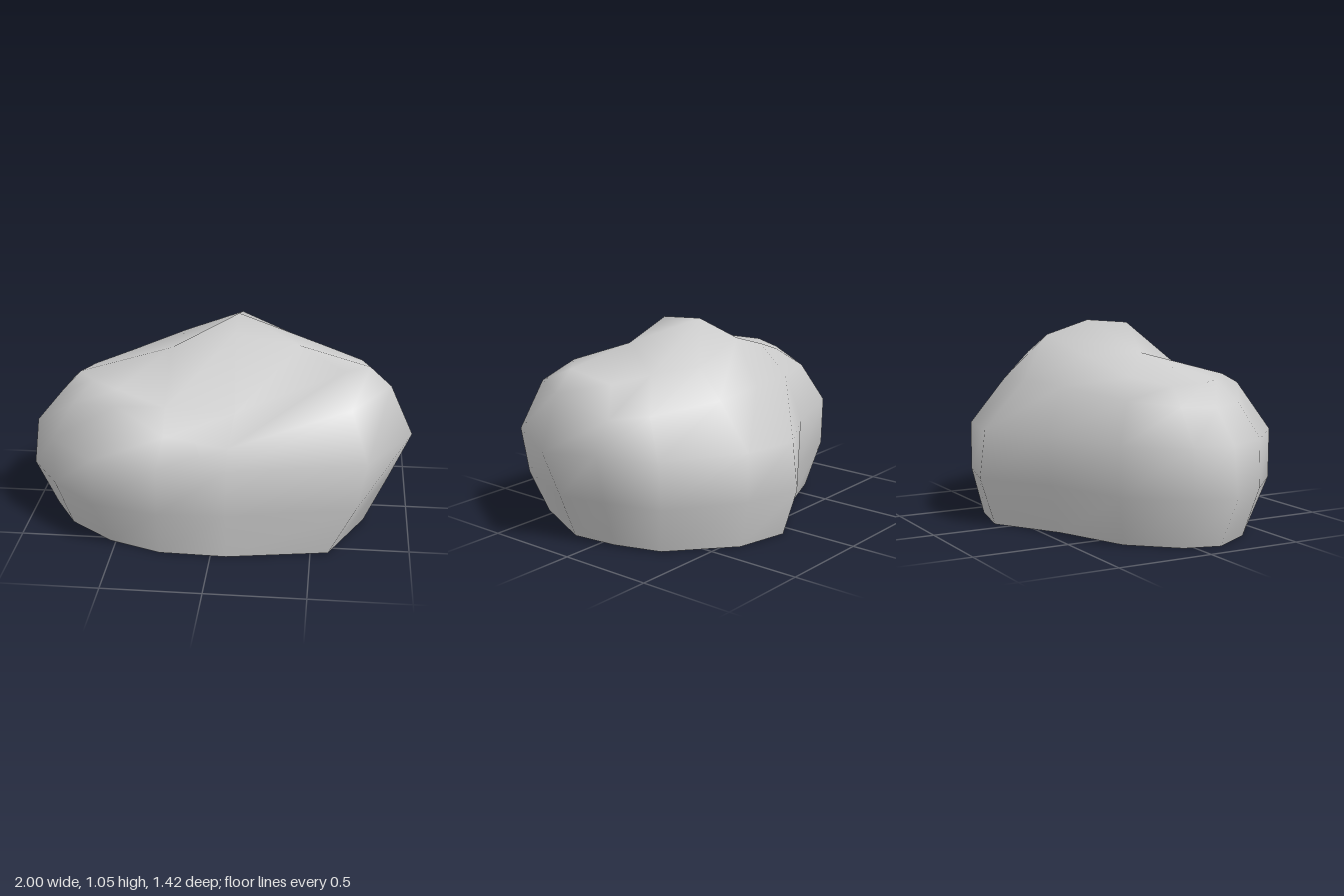
import * as THREE from 'three';

// Level contours [x, z], counter-clockwise seen from above
const footprint = [[.77, .17], [.74, -.07], [.66, -.31], [.36, -.57], [.08, -.63], [-.26, -.42], [-.64, -.27],
  [-.84, -.05], [-.89, .13], [-.76, .35], [-.53, .53], [-.26, .63], [.08, .64], [.59, .55]];
const lowerWaist = [[.89, .15], [.83, -.09], [.74, -.38], [.38, -.63], [.08, -.71], [-.26, -.48], [-.7, -.33],
  [-.94, -.06], [-1, .15], [-.84, .39], [-.6, .62], [-.26, .7], [.08, .68], [.72, .55]];
const upperWaist = [[1, .15], [.88, -.09], [.77, -.39], [.38, -.63], [.08, -.68], [-.26, -.49], [-.71, -.33],
  [-.93, -.06], [-.97, .15], [-.84, .39], [-.59, .63], [-.26, .71], [.08, .69], [.77, .55]];

// Uneven contours [x, y, z]: shoulder, then the rim around the summit with a hollow at the front
const shoulder = [[.88, .77, .17], [.82, .67, -.12], [.7, .69, -.28], [.36, .73, -.44], [.08, .75, -.45],
  [-.24, .74, -.4], [-.62, .7, -.24], [-.8, .68, -.05], [-.83, .67, .14], [-.74, .67, .33], [-.48, .74, .5],
  [-.24, .62, .58], [.08, .57, .58], [.68, .75, .47]];
const rim = [[.77, .87, .17], [.73, .82, -.06], [.55, .85, -.16], [.35, .87, -.3], [.08, .98, -.32],
  [-.22, .89, -.25], [-.5, .8, -.15], [-.68, .765, -.02], [-.73, .78, .14], [-.64, .78, .26], [-.49, .79, .4],
  [-.25, .71, .42], [.1, .68, .38], [.64, .88, .28]];

// Four summit points and the one each rim point climbs to
const summit = [[.41, .95, .11], [.08, 1.05, -.08], [-.26, .895, .05], [.08, 1.03, .16]];
const climbsTo = [0, 0, 0, 1, 1, 2, 2, 2, 2, 2, 2, 2, 3, 0];

function rockGeometry() {
  const level = (outline, y) => outline.map(([x, z]) => [x, y, z]);
  const ground = level(footprint, 0);
  const rings = [ground, level(lowerWaist, .25), level(upperWaist, .5), shoulder, rim];
  const n = footprint.length, top = rings.length * n;
  // The underside has its own points so its edge stays sharp
  const points = [...rings.flat(), ...summit, ...ground, [-.05, 0, .03]];
  const under = top + summit.length, centre = points.length - 1;
  const index = [];
  const tri = (a, b, c) => { if (a !== b && b !== c && c !== a) index.push(a, b, c); };

  for (let i = 0; i < n; i++) {
    const j = (i + 1) % n;
    tri(centre, under + j, under + i);
    for (let r = 0; r < rings.length; r++) {
      const last = r === rings.length - 1;
      const a = r * n + i, b = r * n + j;
      const c = last ? top + climbsTo[i] : a + n;
      const d = last ? top + climbsTo[j] : b + n;
      tri(a, b, d);
      tri(a, d, c);
    }
  }
  // Summit cap
  tri(top, top + 1, top + 3);
  tri(top + 1, top + 2, top + 3);

  const geometry = new THREE.BufferGeometry();
  geometry.setAttribute('position', new THREE.Float32BufferAttribute(points.flat(), 3));
  geometry.setIndex(index);
  geometry.computeVertexNormals();
  return geometry;
}

export function createModel() {
  const model = new THREE.Group();
  model.name = 'rock';
  const boulder = new THREE.Mesh(rockGeometry(), new THREE.MeshStandardMaterial({ color: 0xcccccc }));
  boulder.name = 'boulder';
  model.add(boulder);
  return model;
}
